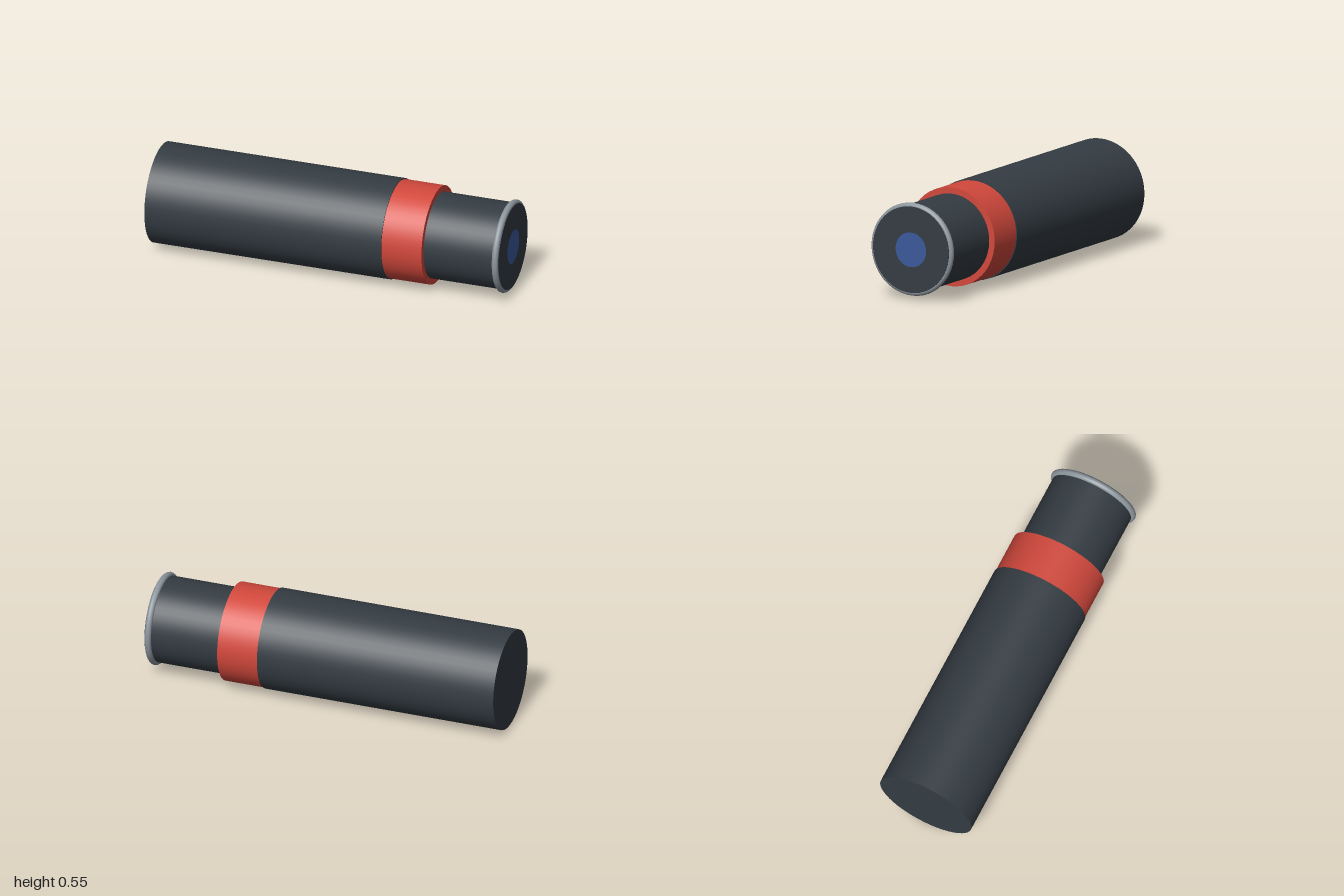
import * as THREE from 'three';

const AXIS_Y = 0.275;

export function createModel() {
  const model = new THREE.Group();

  const material = (color) => new THREE.MeshStandardMaterial({ color });
  const dark = material(0x343c43);
  const red = material(0xd2483c);
  const steel = material(0x8d969e);
  const blue = material(0x3a5a9c);

  // Closed cylinder lying along x between two positions
  function barrel(name, radius, x0, x1, mat) {
    const geometry = new THREE.CylinderGeometry(radius, radius, x1 - x0, 48);
    geometry.rotateZ(-Math.PI / 2);
    const mesh = new THREE.Mesh(geometry, mat);
    mesh.name = name;
    mesh.position.set((x0 + x1) / 2, AXIS_Y, 0);
    model.add(mesh);
  }

  barrel('mainBody', 0.275, -1, 0.345, dark);
  barrel('collar', 0.27, 0.345, 0.573, red);
  barrel('neck', 0.236, 0.573, 0.999, dark);

  // Metal ring around the open end of the neck
  const ring = new THREE.Mesh(new THREE.TorusGeometry(0.236, 0.018, 12, 48), steel);
  ring.name = 'rimRing';
  ring.rotation.y = Math.PI / 2;
  ring.position.set(0.979, AXIS_Y, 0);
  model.add(ring);

  // Small lens set in the end face
  const lens = new THREE.Mesh(new THREE.CircleGeometry(0.095, 32), blue);
  lens.name = 'lens';
  lens.rotation.y = Math.PI / 2;
  lens.position.set(1, AXIS_Y, 0);
  model.add(lens);

  return model;
}
